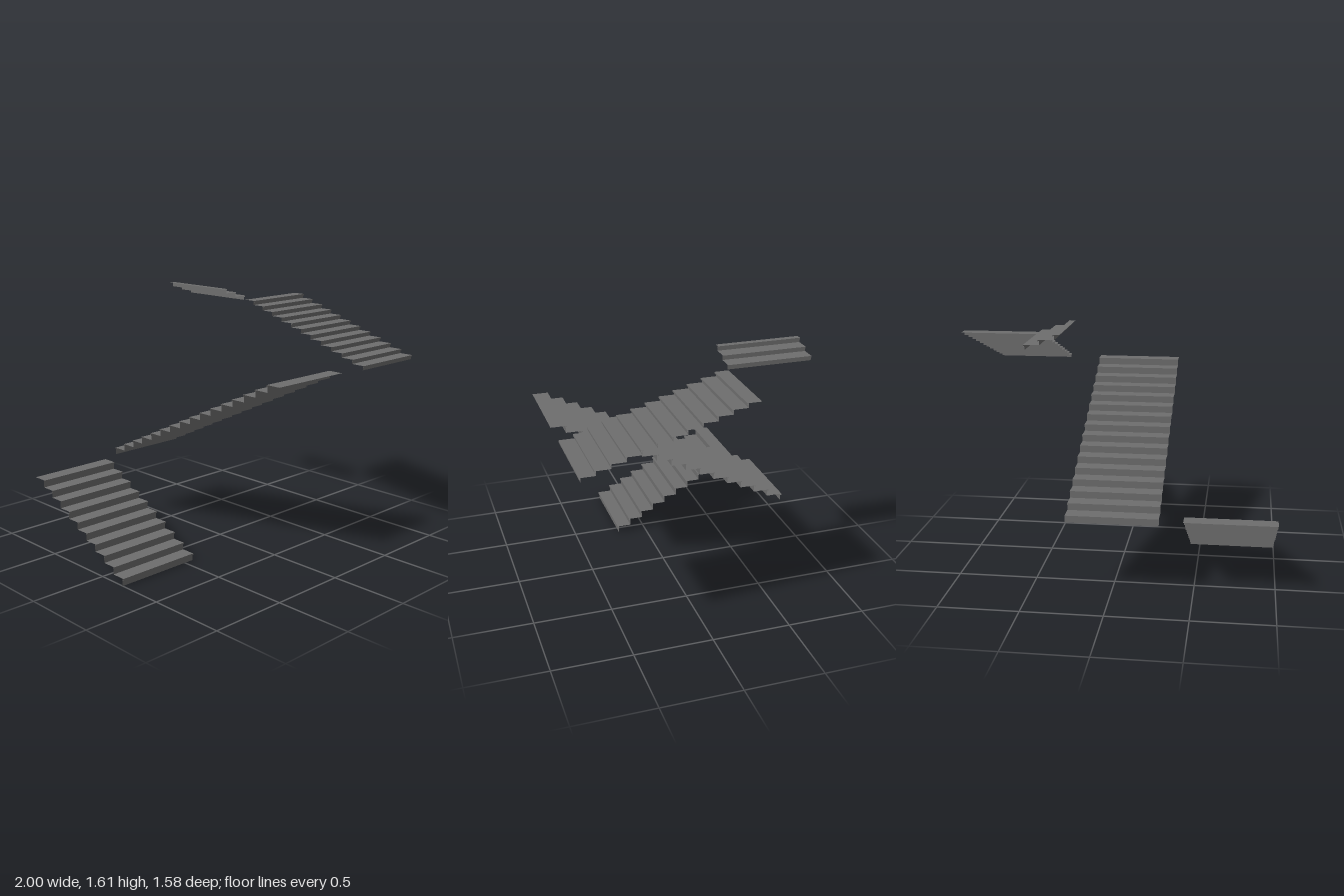
import * as THREE from 'three';

const material = new THREE.MeshStandardMaterial({ color: 0x6e6e6e, flatShading: true, side: THREE.DoubleSide });
const NOSE = 0.008; // overhang of each tread past its riser
const LIP = 0.01;   // height of the tread's front lip

// Thin sheets of risers, lips and treads, climbing towards -z from the origin
function flightGeometry({ width, steps, rise, going, lastTread }) {
  const positions = [];
  const w = width / 2;
  const sheet = (z0, y0, z1, y1) => positions.push(
    -w, y0, z0, w, y0, z0, w, y1, z1, -w, y0, z0, w, y1, z1, -w, y1, z1);

  for (let i = 0; i < steps; i++) {
    const front = -i * going, back = front - NOSE, top = (i + 1) * rise;
    const depth = i === steps - 1 ? lastTread : going + NOSE;
    sheet(back, top - rise, back, top);       // riser
    sheet(back, top - LIP, front, top - LIP); // underside of the nosing
    sheet(front, top - LIP, front, top);      // lip
    sheet(front, top, front - depth, top);    // tread
  }
  const geometry = new THREE.BufferGeometry();
  geometry.setAttribute('position', new THREE.Float32BufferAttribute(positions, 3));
  geometry.computeVertexNormals();
  return geometry;
}

export function createModel() {
  const model = new THREE.Group();
  model.name = 'staircase';

  // start: centre of the first nosing at floor level; turn: heading about y
  const flights = [
    { name: 'lowerFlight', start: [-0.718, 0, 0.203], turn: 0,
      width: 0.565, steps: 10, rise: 0.0477, going: 0.0866, lastTread: 0.098 },
    { name: 'middleFlight', start: [-0.013, 0.47, -0.742], turn: Math.PI,
      width: 0.565, steps: 16, rise: 0.0454, going: 0.0953, lastTread: 0.1 },
    { name: 'upperFlight', start: [0.743, 1.18, 0.787], turn: 0,
      width: 0.514, steps: 12, rise: 0.0283, going: 0.0865, lastTread: 0.0865 },
    { name: 'topFlight', start: [0.482, 1.52, -0.52], turn: Math.PI / 2,
      width: 0.54, steps: 3, rise: 0.03, going: 0.0863, lastTread: 0.038 },
  ];

  for (const flight of flights) {
    const mesh = new THREE.Mesh(flightGeometry(flight), material);
    mesh.name = flight.name;
    mesh.position.set(...flight.start);
    mesh.rotation.y = flight.turn;
    model.add(mesh);
  }
  return model;
}
